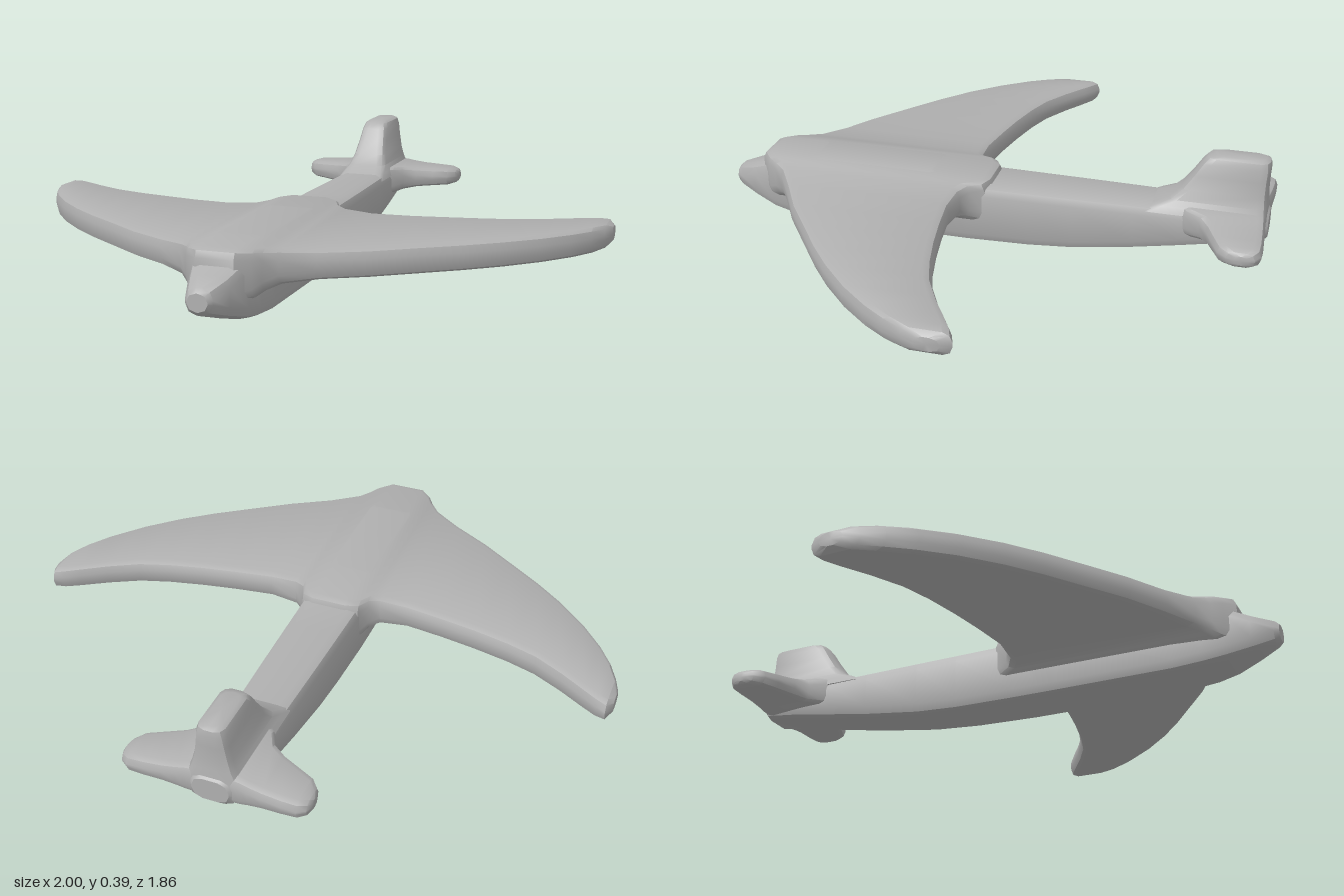
import * as THREE from 'three';
import { toCreasedNormals } from 'three/addons/utils/BufferGeometryUtils.js';

const STEPS = 3; // points per rounded corner

// Rounded rectangle ring, counter-clockwise in (u, v)
function ring(u0, u1, v0, v1, radius) {
  const ru = Math.min(radius, (u1 - u0) * 0.45);
  const rv = Math.min(radius, (v1 - v0) * 0.45);
  const corners = [[u1 - ru, v1 - rv], [u0 + ru, v1 - rv], [u0 + ru, v0 + rv], [u1 - ru, v0 + rv]];
  const points = [];
  corners.forEach(([cu, cv], k) => {
    for (let s = 0; s < STEPS; s++) {
      const a = (k + s / (STEPS - 1)) * Math.PI / 2;
      points.push([cu + ru * Math.cos(a), cv + rv * Math.sin(a)]);
    }
  });
  return points;
}

// Skin sections [t, u0, u1, v0, v1] ordered by rising t; place turns (t, u, v) into [x, y, z]
function loft(sections, radius, place) {
  const positions = [], index = [], n = STEPS * 4;
  for (const [t, u0, u1, v0, v1] of sections) {
    for (const [u, v] of ring(u0, u1, v0, v1, radius)) positions.push(...place(t, u, v));
  }
  for (let i = 0; i < sections.length - 1; i++) {
    for (let j = 0; j < n; j++) {
      const a = i * n + j, b = i * n + (j + 1) % n;
      index.push(a, b, b + n, a, b + n, a + n);
    }
  }
  // end caps
  [0, sections.length - 1].forEach((i, end) => {
    const [t, u0, u1, v0, v1] = sections[i];
    const centre = positions.length / 3;
    positions.push(...place(t, (u0 + u1) / 2, (v0 + v1) / 2));
    for (let j = 0; j < n; j++) {
      const a = i * n + j, b = i * n + (j + 1) % n;
      index.push(centre, end ? a : b, end ? b : a);
    }
  });
  const geometry = new THREE.BufferGeometry();
  geometry.setAttribute('position', new THREE.Float32BufferAttribute(positions, 3));
  geometry.setIndex(index);
  return toCreasedNormals(geometry, 0.65);
}

const alongX = (t, u, v) => [t, u, v]; // u = y, v = z
const alongY = (t, u, v) => [v, t, u]; // u = z, v = x
const alongZ = (t, u, v) => [u, v, t]; // u = x, v = y

// Continue half-span sections across to the other side
const mirrored = (half) => [...half.slice().reverse().map(([x, ...rest]) => [-x, ...rest]), ...half];

export function createModel() {
  const group = new THREE.Group();
  const grey = new THREE.MeshStandardMaterial({ color: 0xb0b0b0 });
  grey.name = 'plain grey';
  const add = (name, geometry) => {
    const mesh = new THREE.Mesh(geometry, grey);
    mesh.name = name;
    group.add(mesh);
  };

  // Fuselage: z, half width, bottom, top
  const body = [
    [-0.93, 0.06, 0.125, 0.2],
    [-0.915, 0.075, 0.112, 0.215],
    [-0.8, 0.082, 0.095, 0.215],
    [-0.65, 0.088, 0.068, 0.21],
    [-0.5, 0.092, 0.042, 0.21],
    [-0.3, 0.097, 0.014, 0.21],
    [-0.15, 0.1, 0.004, 0.21],
    [0.06, 0.104, 0, 0.21],
    [0.14, 0.104, 0, 0.228],
    [0.2, 0.104, 0, 0.235],
    [0.6, 0.104, 0.002, 0.235],
    [0.7, 0.1, 0.01, 0.227],
    [0.77, 0.09, 0.022, 0.2],
    [0.85, 0.066, 0.045, 0.168],
    [0.915, 0.043, 0.067, 0.148],
    [0.93, 0.032, 0.08, 0.135],
  ].map(([z, w, y0, y1]) => [z, -w, w, y0, y1]);
  add('fuselage', loft(body, 0.034, alongZ));

  // Main wing, swept crescent: x, bottom, top, trailing z, leading z
  add('wing', loft(mirrored([
    [0.06, 0.075, 0.234, -0.02, 0.81],
    [0.1, 0.085, 0.229, 0, 0.775],
    [0.12, 0.1, 0.225, 0.045, 0.745],
    [0.155, 0.113, 0.219, 0.068, 0.705],
    [0.25, 0.12, 0.212, 0.075, 0.645],
    [0.38, 0.12, 0.21, 0.058, 0.57],
    [0.5, 0.12, 0.21, 0.037, 0.485],
    [0.62, 0.12, 0.209, 0.01, 0.4],
    [0.72, 0.12, 0.208, -0.022, 0.32],
    [0.82, 0.12, 0.206, -0.075, 0.225],
    [0.9, 0.12, 0.204, -0.125, 0.13],
    [0.95, 0.121, 0.202, -0.155, 0.055],
    [0.982, 0.125, 0.198, -0.167, -0.01],
    [1, 0.14, 0.185, -0.135, -0.055],
  ]), 0.03, alongX));

  // Tailplane: x, bottom, top, trailing z, leading z
  add('tailplane', loft(mirrored([
    [0.05, 0.118, 0.222, -0.922, -0.63],
    [0.09, 0.122, 0.218, -0.924, -0.665],
    [0.115, 0.128, 0.213, -0.926, -0.715],
    [0.16, 0.135, 0.207, -0.929, -0.745],
    [0.22, 0.138, 0.203, -0.932, -0.772],
    [0.27, 0.14, 0.2, -0.931, -0.795],
    [0.295, 0.146, 0.194, -0.915, -0.825],
    [0.303, 0.155, 0.185, -0.895, -0.85],
  ]), 0.026, alongX));

  // Tail fin with flared foot: y, trailing z, leading z, half width
  const fin = [
    [0.19, -0.924, -0.52, 0.088],
    [0.212, -0.923, -0.56, 0.08],
    [0.235, -0.921, -0.61, 0.07],
    [0.27, -0.919, -0.645, 0.061],
    [0.32, -0.92, -0.68, 0.053],
    [0.36, -0.922, -0.705, 0.048],
    [0.38, -0.919, -0.722, 0.042],
    [0.388, -0.905, -0.745, 0.03],
  ].map(([y, z0, z1, w]) => [y, z0, z1, -w, w]);
  add('tailFin', loft(fin, 0.028, alongY));

  return group;
}
